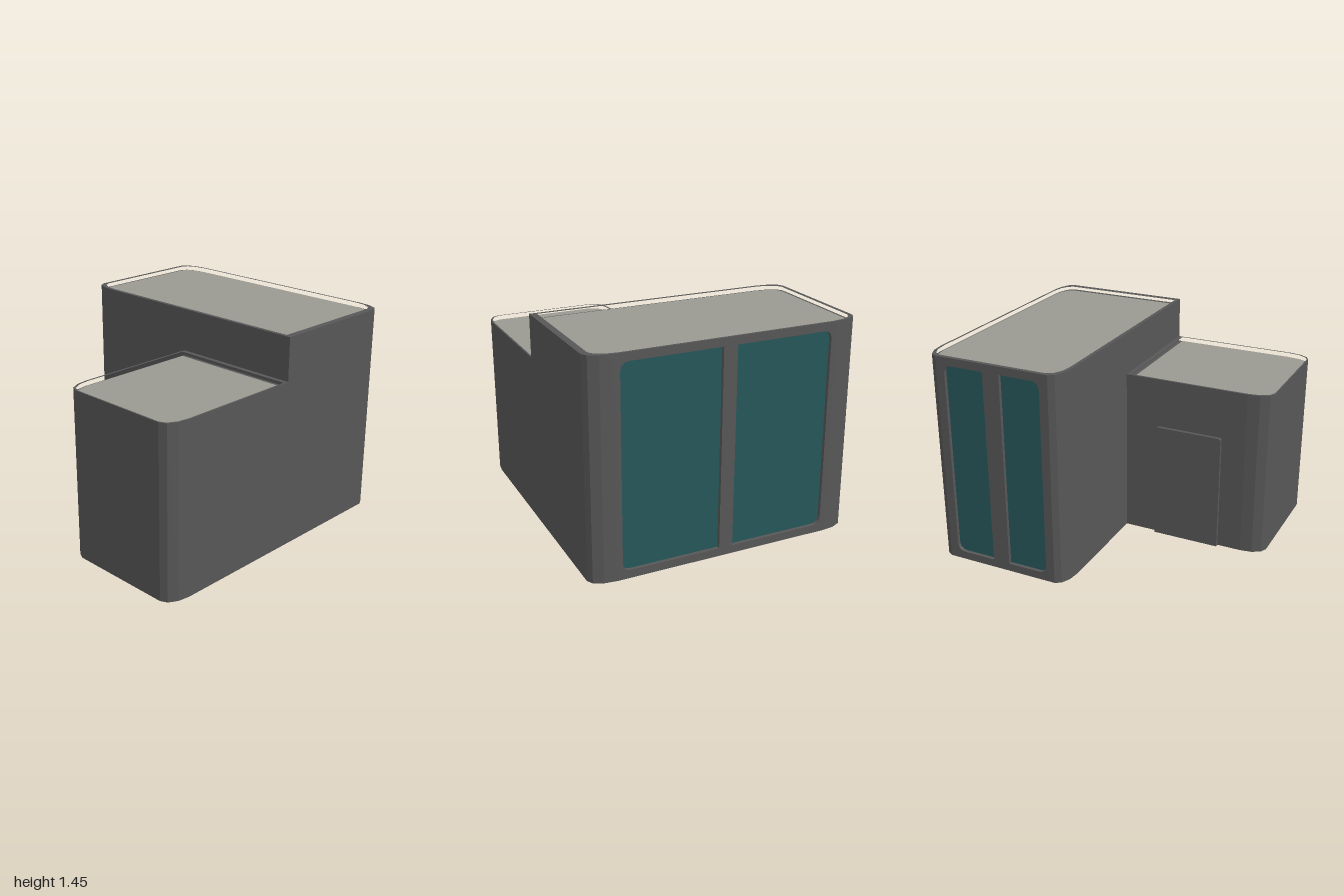
import * as THREE from 'three';

const wallMat = new THREE.MeshStandardMaterial({ color: 0x575757 });
wallMat.name = 'dark grey wall';
const roofMat = new THREE.MeshStandardMaterial({ color: 0x9a9a92 });
roofMat.name = 'pale grey roof';
const glassMat = new THREE.MeshStandardMaterial({ color: 0x26575b });
glassMat.name = 'teal glass';

// Plan outline [x, z] with faceted elliptical corners; flags pick which corners are rounded
function outline(x0, x1, z0, z1, rx, rz, flags) {
  const corners = [[x0, z0, 1, 1], [x1, z0, -1, 1], [x1, z1, -1, -1], [x0, z1, 1, -1]];
  return corners.flatMap(([x, z, sx, sz], i) => {
    if (!flags[i]) return [[x, z]];
    const arc = [0, 1, 2, 3].map(k => {
      const a = k * Math.PI / 6;
      return [x + sx * rx * (1 - Math.cos(a)), z + sz * rz * (1 - Math.sin(a))];
    });
    return i % 2 ? arc.reverse() : arc;
  });
}

const toVectors = pts => pts.map(([x, z]) => new THREE.Vector2(x, -z));

// Vertical prism from a plan outline, optionally hollow
function prism(name, pts, y0, y1, mat, hole) {
  const shape = new THREE.Shape(toVectors(pts));
  if (hole) shape.holes.push(new THREE.Path(toVectors(hole)));
  const geo = new THREE.ExtrudeGeometry(shape, { depth: y1 - y0, bevelEnabled: false });
  geo.rotateX(-Math.PI / 2).translate(0, y0, 0);
  const mesh = new THREE.Mesh(geo, mat);
  mesh.name = name;
  return mesh;
}

// Window pane outline, rounded on the side away from the mullion (s = side)
function pane(s, inner, outer, y0, y1, r) {
  const p = new THREE.Shape();
  p.moveTo(s * inner, y0);
  p.lineTo(s * (outer - r), y0);
  p.quadraticCurveTo(s * outer, y0, s * outer, y0 + r);
  p.lineTo(s * outer, y1 - r);
  p.quadraticCurveTo(s * outer, y1, s * (outer - r), y1);
  p.lineTo(s * inner, y1);
  p.closePath();
  return p;
}

// Facade panel with a pair of recessed windows, facing local +z
function facade(name, width, height, depth, inner, outer) {
  const group = new THREE.Group();
  group.name = name;
  const wall = new THREE.Shape();
  wall.moveTo(-width / 2, 0);
  wall.lineTo(width / 2, 0);
  wall.lineTo(width / 2, height);
  wall.lineTo(-width / 2, height);
  wall.closePath();
  for (const s of [-1, 1]) {
    const shape = pane(s, inner, outer, 0.055, 1.395, 0.06);
    wall.holes.push(shape);
    const glass = new THREE.Mesh(
      new THREE.ExtrudeGeometry(shape, { depth: 0.006, bevelEnabled: false, curveSegments: 5 }), glassMat);
    glass.name = s > 0 ? 'windowA' : 'windowB';
    group.add(glass);
  }
  const panel = new THREE.Mesh(
    new THREE.ExtrudeGeometry(wall, { depth, bevelEnabled: false, curveSegments: 5 }), wallMat);
  panel.name = 'windowWall';
  group.add(panel);
  return group;
}

export function createModel() {
  const model = new THREE.Group();
  model.name = 'building';

  // Tall block: three rounded corners, with notches that hold the window facades
  const X = 0.915, z0 = -1, z1 = -0.03, rx = 0.17, rz = 0.08, d = 0.03;
  const top = 1.45, deck = 1.415;
  const tallFlags = [1, 1, 0, 1];
  const tall = outline(-X, X, z0, z1, rx, rz, tallFlags);
  const core = [
    ...tall.slice(0, 4), [-X + rx, z0 + d], [X - rx, z0 + d],
    ...tall.slice(4), [-X + d, z1 - rz], [-X + d, z0 + rz],
  ];
  const tallInner = outline(-0.888, 0.87, -0.985, -0.055, 0.16, 0.08, tallFlags);
  model.add(prism('tallBlock', core, 0, deck, wallMat));
  model.add(prism('tallParapet', tall, deck, top, wallMat, tallInner));
  model.add(prism('tallRoof', tallInner, deck, deck + 0.005, roofMat));

  // Window facades on the back and on the right side
  const back = facade('backFacade', 2 * (X - rx), deck, d, 0.047, 0.71);
  back.rotation.y = Math.PI;
  back.position.z = z0 + d;
  const side = facade('sideFacade', z1 - z0 - 2 * rz, deck, d, 0.06, 0.345);
  side.rotation.y = -Math.PI / 2;
  side.position.set(-X + d, 0, (z0 + z1) / 2);
  model.add(back, side);

  // Lower annex with two rounded front corners
  const annexTop = 1.16, annexDeck = 1.125, annexFlags = [0, 0, 1, 1];
  const annex = outline(0.005, X, z1, 1, 0.09, 0.16, annexFlags);
  const annexInner = outline(0.02, 0.903, 0.002, 0.99, 0.085, 0.155, annexFlags);
  model.add(prism('annexBlock', annex, 0, annexDeck, wallMat));
  model.add(prism('annexParapet', annex, annexDeck, annexTop, wallMat, annexInner));
  model.add(prism('annexRoof', annexInner, annexDeck, annexDeck + 0.005, roofMat));

  // Door slab on the annex side, rounded at its top corners
  const w = 0.237, h = 0.82, r = 0.02;
  const doorShape = new THREE.Shape();
  doorShape.moveTo(-w, 0);
  doorShape.lineTo(w, 0);
  doorShape.lineTo(w, h - r);
  doorShape.quadraticCurveTo(w, h, w - r, h);
  doorShape.lineTo(-w + r, h);
  doorShape.quadraticCurveTo(-w, h, -w, h - r);
  doorShape.closePath();
  const door = new THREE.Mesh(
    new THREE.ExtrudeGeometry(doorShape, { depth: 0.035, bevelEnabled: false, curveSegments: 3 }), wallMat);
  door.name = 'door';
  door.rotation.y = -Math.PI / 2;
  door.position.set(0.015, 0, 0.437);
  model.add(door);

  return model;
}
